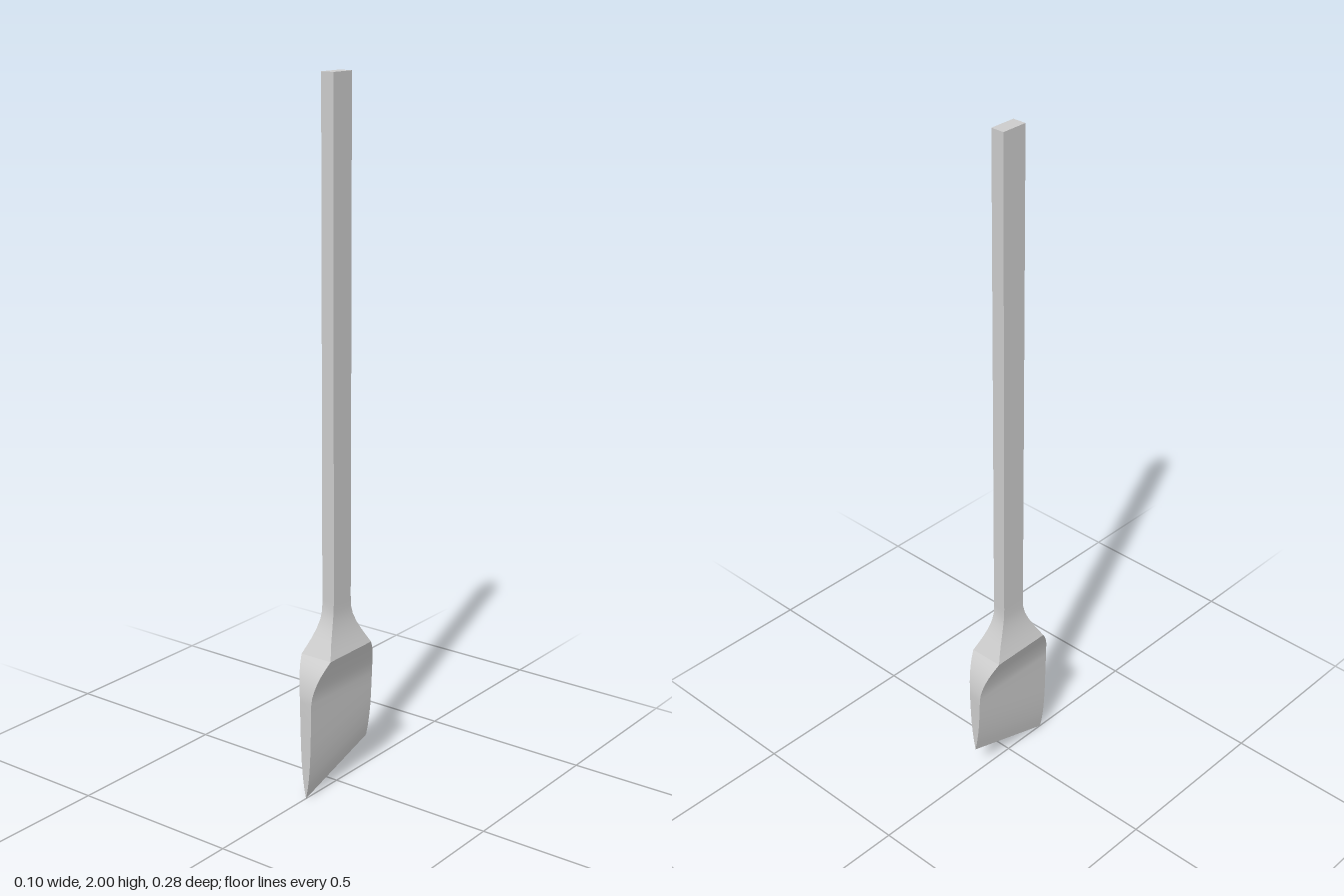
import * as THREE from 'three';
import { mergeGeometries } from 'three/addons/utils/BufferGeometryUtils.js';

// Corner signs around a rectangular section, counter-clockwise from above
const CORNERS = [[1, 1], [1, -1], [-1, -1], [-1, 1]];

// Lofts rectangular sections [y, halfWidth, halfDepth, slant], listed top down.
// Each of the four sides is smooth along its length, with sharp corners between.
function loft(sections) {
  const sides = CORNERS.map((a, i) => {
    const b = CORNERS[(i + 1) % 4];
    const pos = [], index = [];
    sections.forEach(([y, w, d, slant = 0], k) => {
      for (const [sx, sz] of [a, b]) pos.push(sx * w, y - sz * slant, sz * d);
      if (k) {
        const n = 2 * k;
        index.push(n - 2, n, n + 1, n - 2, n + 1, n - 1);
      }
    });
    const g = new THREE.BufferGeometry();
    g.setAttribute('position', new THREE.Float32BufferAttribute(pos, 3));
    g.setIndex(index);
    g.computeVertexNormals();
    return g;
  });
  return mergeGeometries(sides);
}

export function createModel() {
  const model = new THREE.Group();
  const material = new THREE.MeshStandardMaterial({ color: 0xcccccc });
  const add = (name, geometry) => {
    const mesh = new THREE.Mesh(geometry, material);
    mesh.name = name;
    model.add(mesh);
    return mesh;
  };

  // Straight shaft flaring out to the shoulder
  add('shaft', loft([
    [2, 0.02, 0.039], [0.56, 0.02, 0.039], [0.53, 0.02, 0.04], [0.505, 0.022, 0.046],
    [0.48, 0.027, 0.056], [0.455, 0.034, 0.069], [0.43, 0.043, 0.083], [0.41, 0.051, 0.094],
  ]));

  // Flat end of the shaft
  const cap = add('shaftEnd', new THREE.PlaneGeometry(0.04, 0.078).rotateX(-Math.PI / 2));
  cap.position.y = 2;

  // Blade widening in depth while thinning, then tapering to a slanted cutting edge
  add('blade', loft([
    [0.41, 0.051, 0.094], [0.39, 0.044, 0.109], [0.37, 0.037, 0.121], [0.35, 0.031, 0.13],
    [0.33, 0.026, 0.136], [0.31, 0.022, 0.14], [0.29, 0.02, 0.142], [0.24, 0.0185, 0.142, 0.018],
    [0.19, 0.017, 0.142, 0.033], [0.145, 0.0145, 0.142, 0.04], [0.105, 0.0105, 0.142, 0.044],
    [0.075, 0.006, 0.142, 0.045], [0.045, 0, 0.142, 0.045],
  ]));

  return model;
}
